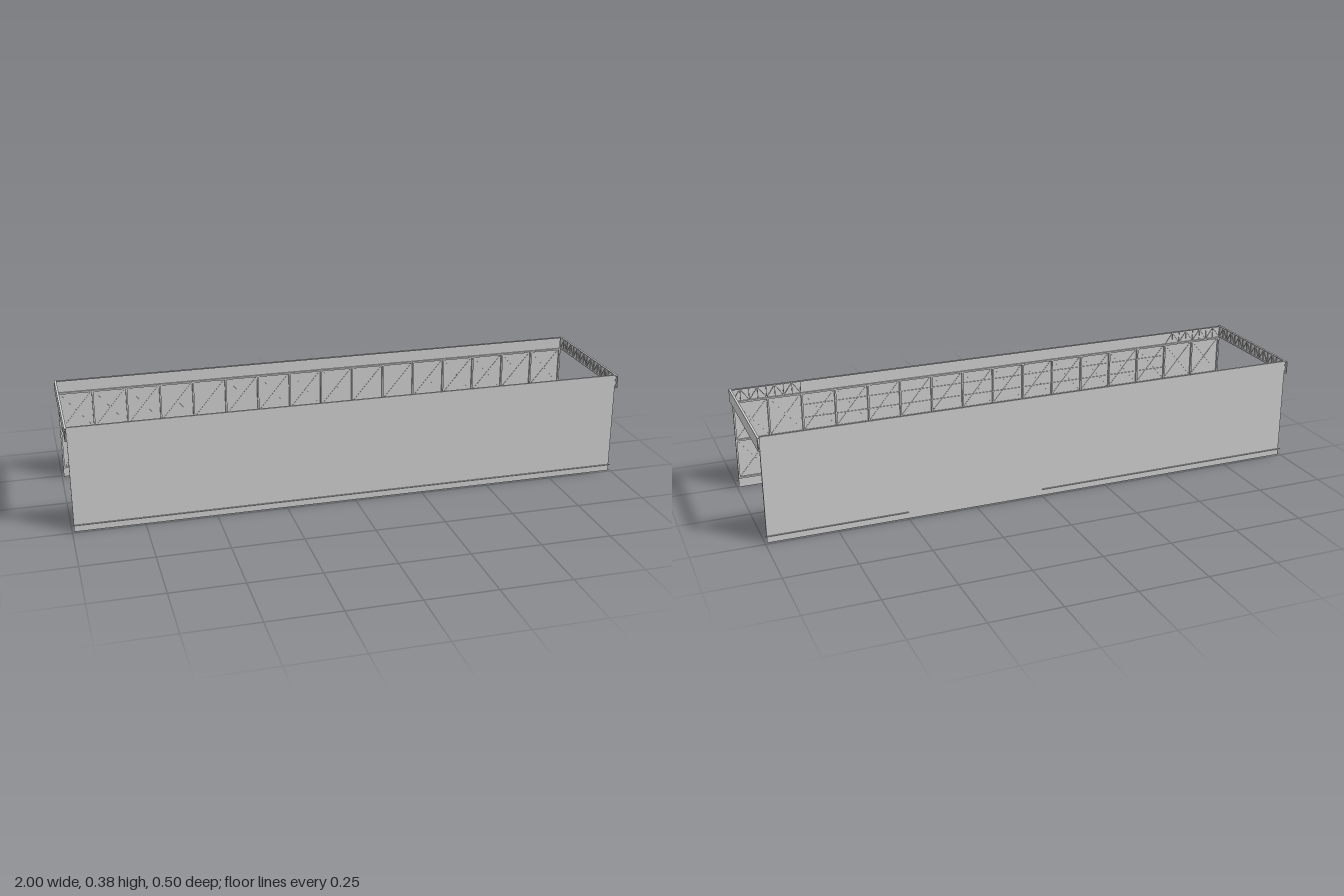
import * as THREE from 'three';

const material = new THREE.MeshStandardMaterial({ color: 0xcccccc, flatShading: true, side: THREE.DoubleSide });

const END = 0.993;      // half length of the long walls
const SKIN = 0.241;     // z of the outer wall sheet
const TOP = 0.38;
const BAND = 0.333;     // underside of the top band
const FOOT = 0.036;     // underside of the wall frame
const MID = 0.185;
const BAYS = 16;

function box(parent, name, w, h, d, x, y, z) {
  const mesh = new THREE.Mesh(new THREE.BoxGeometry(w, h, d), material);
  mesh.name = name;
  mesh.position.set(x, y, z);
  parent.add(mesh);
  return mesh;
}

// Straight bar in the local xy plane between two points
function bar(parent, name, x0, y0, x1, y1, z, t) {
  const mesh = box(parent, name, Math.hypot(x1 - x0, y1 - y0), t, t, (x0 + x1) / 2, (y0 + y1) / 2, z);
  mesh.rotation.z = Math.atan2(y1 - y0, x1 - x0);
}

// Zigzag lattice inside the top band
function lattice(parent, from, to, count, z) {
  const step = (to - from) / count;
  for (let i = 0; i < count; i++) {
    const x = from + i * step;
    const up = i % 2 === 0;
    bar(parent, 'latticeBar', x, up ? BAND : TOP - 0.003, x + step, up ? TOP - 0.003 : BAND, z, 0.002);
    box(parent, 'latticePost', 0.002, TOP - BAND - 0.003, 0.003, x, (TOP + BAND) / 2, z);
  }
}

// Long wall facing local +z, with its framing on the inner side
function longWall(name, ledges) {
  const wall = new THREE.Group();
  wall.name = name;

  const sheet = new THREE.Mesh(new THREE.PlaneGeometry(END * 2, TOP), material);
  sheet.name = 'wallSheet';
  sheet.position.set(0, TOP / 2, SKIN);
  wall.add(sheet);

  // Narrow ledge along the foot
  for (const [a, b] of ledges) {
    const ledge = new THREE.Mesh(new THREE.PlaneGeometry(b - a, 0.007), material);
    ledge.name = 'footLedge';
    ledge.rotation.x = -Math.PI / 2;
    ledge.position.set((a + b) / 2, 0.025, SKIN + 0.0035);
    wall.add(ledge);
  }

  // Rails and posts
  const frameZ = SKIN - 0.004;
  for (const y of [FOOT + 0.003, MID, BAND - 0.003])
    box(wall, 'rail', END * 2, 0.006, 0.007, 0, y, frameZ);
  box(wall, 'topRail', END * 2, 0.003, 0.007, 0, TOP - 0.0015, frameZ);
  const step = (END * 2 - 0.006) / BAYS;
  for (let i = 0; i <= BAYS; i++)
    box(wall, 'post', 0.006, BAND - FOOT, 0.008, -END + 0.003 + i * step, (BAND + FOOT) / 2, frameZ);

  // Crossed braces in both rows of every bay
  for (let i = 0; i < BAYS; i++) {
    const x0 = -END + 0.003 + i * step;
    for (const [y0, y1] of [[FOOT, MID], [MID, BAND]]) {
      bar(wall, 'brace', x0, y0, x0 + step, y1, SKIN - 0.002, 0.0015);
      bar(wall, 'brace', x0, y1, x0 + step, y0, SKIN - 0.002, 0.0015);
    }
  }
  return wall;
}

// Raised end band with its lattice on the inner side, facing local +z
function endBand(name) {
  const band = new THREE.Group();
  band.name = name;
  const h = TOP - BAND;
  box(band, 'bandSheet', 0.496, h, 0.002, 0, BAND + h / 2, 0.999);
  for (const y of [BAND + 0.0015, TOP - 0.0015])
    box(band, 'bandRail', 0.496, 0.003, 0.007, 0, y, 0.9955);
  lattice(band, -0.24, 0.24, 16, 0.995);
  return band;
}

export function createModel() {
  const model = new THREE.Group();
  model.name = 'openFrameEnclosure';

  const front = longWall('frontWall', [[-1, 1]]);
  // Extra rails and band lattice on the front wall
  for (const y of [0.235, 0.285])
    box(front, 'infillRail', 1.5, 0.002, 0.003, 0, y, SKIN - 0.003);
  for (const s of [-1, 1])
    lattice(front, s > 0 ? 0.745 : -END, s > 0 ? END : -0.745, 8, SKIN - 0.004);
  model.add(front);

  // The back ledge is interrupted between x = 0 and x = 0.5
  const back = longWall('backWall', [[-1, -0.5], [0, 1]]);
  back.rotation.y = Math.PI;
  model.add(back);

  for (const [name, s] of [['leftBand', 1], ['rightBand', -1]]) {
    const band = endBand(name);
    band.rotation.y = s * Math.PI / 2;
    model.add(band);
  }
  return model;
}
